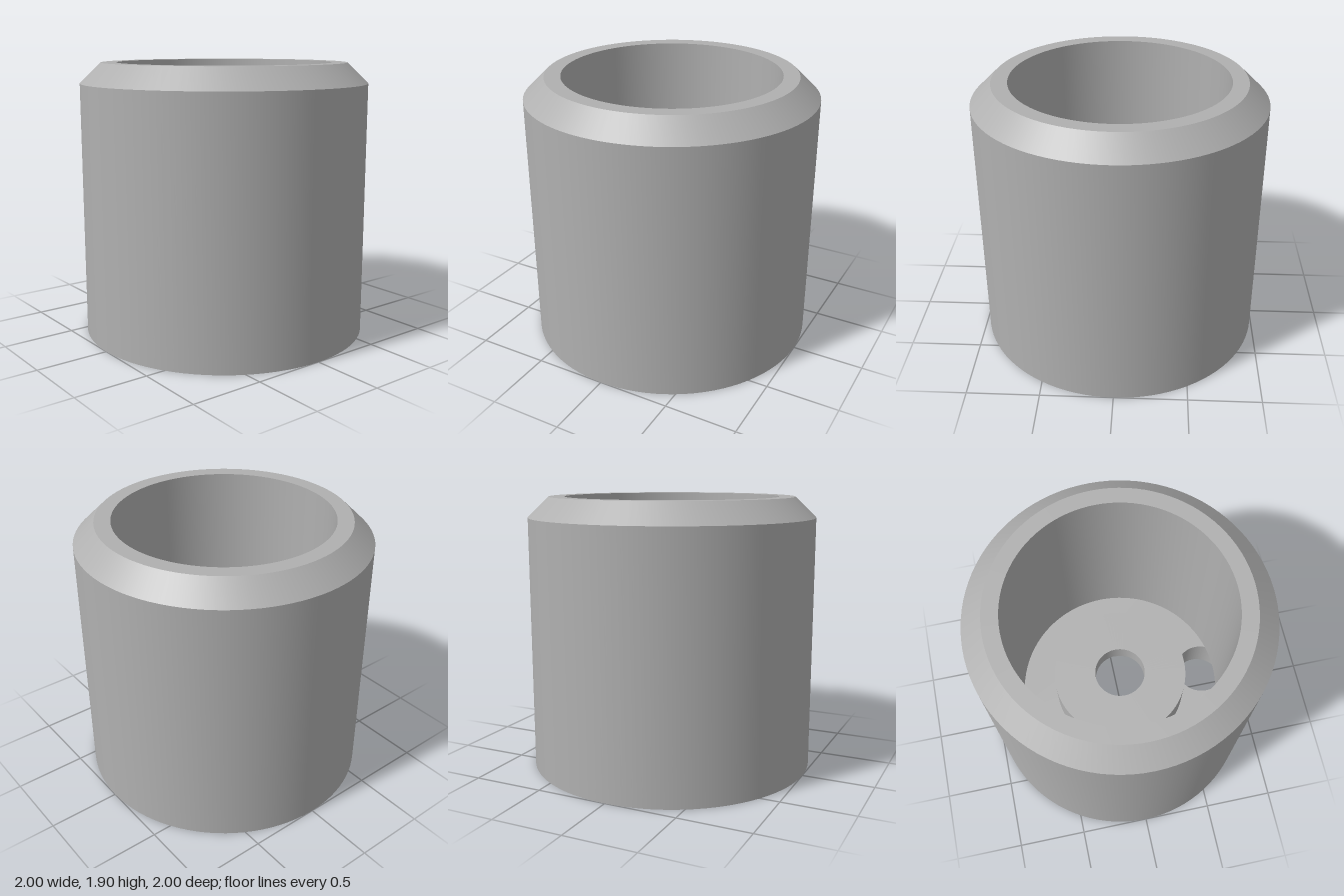
import * as THREE from 'three';
import { toCreasedNormals } from 'three/addons/utils/BufferGeometryUtils.js';

const RECESS_TOP = 0.14, FLOOR_TOP = 0.43, BOSS_TOP = 0.72;
const WALL = 0.14, BORE = 0.745, PIN = 0.185, SOCKET = 0.345;

export function createModel() {
  const group = new THREE.Group();
  const grey = new THREE.MeshStandardMaterial({ color: 0xb0b0b0 });
  grey.name = 'grey';

  const add = (name, geometry) => {
    const mesh = new THREE.Mesh(toCreasedNormals(geometry, 0.5), grey);
    mesh.name = name;
    group.add(mesh);
    return mesh;
  };

  // Closed counter-clockwise profile turned about the y axis
  const turned = (name, profile) => {
    const points = [...profile, profile[0]].map(([r, y]) => new THREE.Vector2(r, y));
    return add(name, new THREE.LatheGeometry(points, 96));
  };

  // Outer sleeve: chamfered rim on top, wider recess underneath
  turned('sleeve', [
    [1 - WALL, 0], [1, 0], [1, 1.76], [0.855, 1.9],
    [BORE, 1.9], [BORE, FLOOR_TOP], [1 - WALL, FLOOR_TOP],
  ]);

  // Floor plate with the central socket and the offset hole
  const plate = new THREE.Shape().absarc(0, 0, 1 - WALL, 0, Math.PI * 2);
  for (const [y, r] of [[0, SOCKET], [-0.65, PIN]]) {
    plate.holes.push(new THREE.Path().absarc(0, y, r, 0, Math.PI * 2, true));
  }
  const floor = new THREE.ExtrudeGeometry(plate, {
    depth: FLOOR_TOP - RECESS_TOP, bevelEnabled: false, curveSegments: 96,
  });
  floor.rotateX(-Math.PI / 2).translate(0, RECESS_TOP, 0);
  add('floor', floor);

  // Hollow central boss with a smaller hole through its cap
  turned('centralBoss', [
    [SOCKET, FLOOR_TOP], [0.49, FLOOR_TOP], [0.49, BOSS_TOP],
    [PIN, BOSS_TOP], [PIN, BOSS_TOP - WALL], [SOCKET, BOSS_TOP - WALL],
  ]);

  return group;
}
